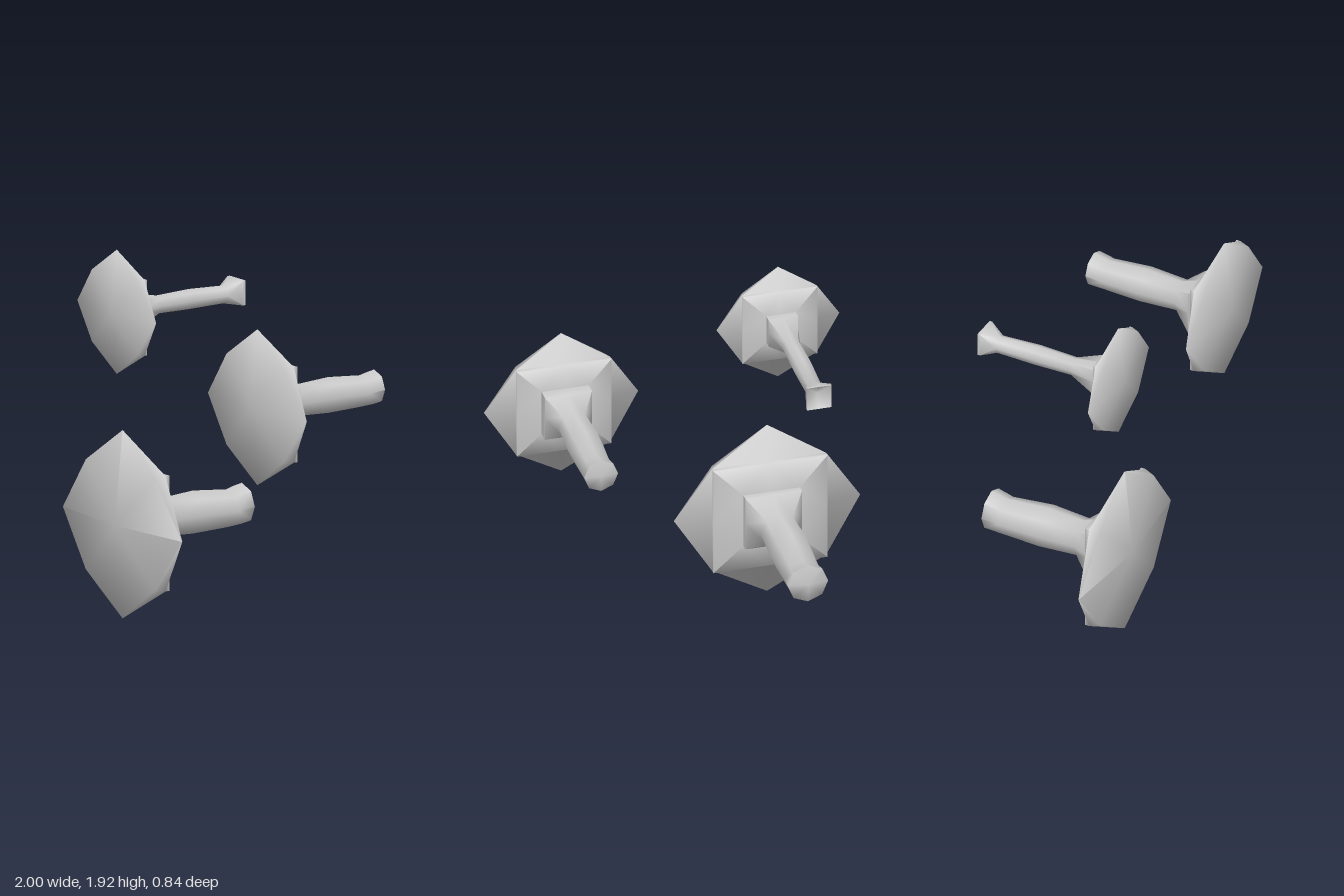
import * as THREE from 'three';
import { toCreasedNormals } from 'three/addons/utils/BufferGeometryUtils.js';

const SIDES = 8;

// Ring across z: even points lie on the axes, odd points on the diagonals
const ring = (z, even, odd = even, zOdd = z, dy = 0) =>
  Array.from({ length: SIDES }, (_, i) => {
    const a = (i / SIDES) * Math.PI * 2;
    const r = i % 2 ? odd : even;
    return [Math.cos(a) * r, Math.sin(a) * r + dy, i % 2 ? zOdd : z];
  });
const square = (z, half, dy = 0) => ring(z, half, half * Math.SQRT2, z, dy);

// Skin a list of rings running from front to back
function loft(rings) {
  const index = [];
  for (let j = 0; j < rings.length - 1; j++) {
    for (let i = 0; i < SIDES; i++) {
      const a = j * SIDES + i, b = j * SIDES + (i + 1) % SIDES;
      const c = a + SIDES, d = b + SIDES;
      // diagonals mirrored on alternate sides
      if (i % 2) index.push(a, c, b, b, c, d);
      else index.push(a, d, b, a, c, d);
    }
  }
  const geo = new THREE.BufferGeometry();
  geo.setAttribute('position', new THREE.Float32BufferAttribute(rings.flat(2), 3));
  geo.setIndex(index);
  return toCreasedNormals(geo, 1.5);
}

const material = new THREE.MeshStandardMaterial({ color: 0xcccccc, side: THREE.DoubleSide });

function makeKnob(name, p) {
  const knob = new THREE.Group();
  knob.name = name;
  const add = (part, rings) => {
    const mesh = new THREE.Mesh(loft(rings), material);
    mesh.name = part;
    knob.add(mesh);
  };
  // shallow domed face with four pointed tips, bevelled back to a square slab
  add('cap', [
    ring(p.apex, 0.0001),
    ring(p.tipZ, p.tip, p.slab * 1.35, p.tipZ + 0.012),
    ring(p.tipZ - 0.002, p.tip, p.slab * Math.SQRT2, p.slabZ[0]),
    square(p.slabZ[0], p.slab),
    square(p.slabZ[1], p.slab),
    square(p.collarZ[0], p.collar),
  ]);
  // square collar narrowing into the rounded stem
  add('stem', [
    square(p.collarZ[0], p.collar),
    square(p.collarZ[1], p.collar),
    ...p.stem.map(([z, r, dy]) => ring(z, r, r, z, dy)),
    ...p.end,
  ]);
  knob.position.set(p.x, p.y, 0);
  return knob;
}

export function createModel() {
  const group = new THREE.Group();
  group.name = 'wallKnobs';
  group.add(
    makeKnob('largeKnob', {
      x: -0.507, y: 0.498, apex: 0.422, tipZ: 0.373, tip: 0.493,
      slab: 0.302, slabZ: [0.33, 0.305], collar: 0.15, collarZ: [0.28, 0.245],
      stem: [[0.13, 0.1, 0], [-0.08, 0.113, -0.003], [-0.31, 0.099, -0.016], [-0.4, 0.107, -0.003]],
      end: [ring(-0.421, 0.0001)],
    }),
    makeKnob('mediumKnob', {
      x: 0.588, y: 1.315, apex: 0.402, tipZ: 0.357, tip: 0.408,
      slab: 0.25, slabZ: [0.315, 0.293], collar: 0.125, collarZ: [0.275, 0.215],
      stem: [[0.11, 0.083, 0], [-0.1, 0.094, -0.003], [-0.31, 0.083, -0.013], [-0.4, 0.09, -0.003]],
      end: [ring(-0.415, 0.0001)],
    }),
    makeKnob('smallKnob', {
      x: -0.563, y: 1.6, apex: 0.402, tipZ: 0.367, tip: 0.325,
      slab: 0.198, slabZ: [0.34, 0.325], collar: 0.078, collarZ: [0.305, 0.265],
      stem: [[0.11, 0.048, 0], [-0.1, 0.053, -0.002], [-0.32, 0.047, -0.01]],
      // flared square end with a hollow
      end: [square(-0.4, 0.065, -0.003), square(-0.415, 0.065, -0.003), ring(-0.37, 0.0001)],
    }),
  );
  return group;
}
